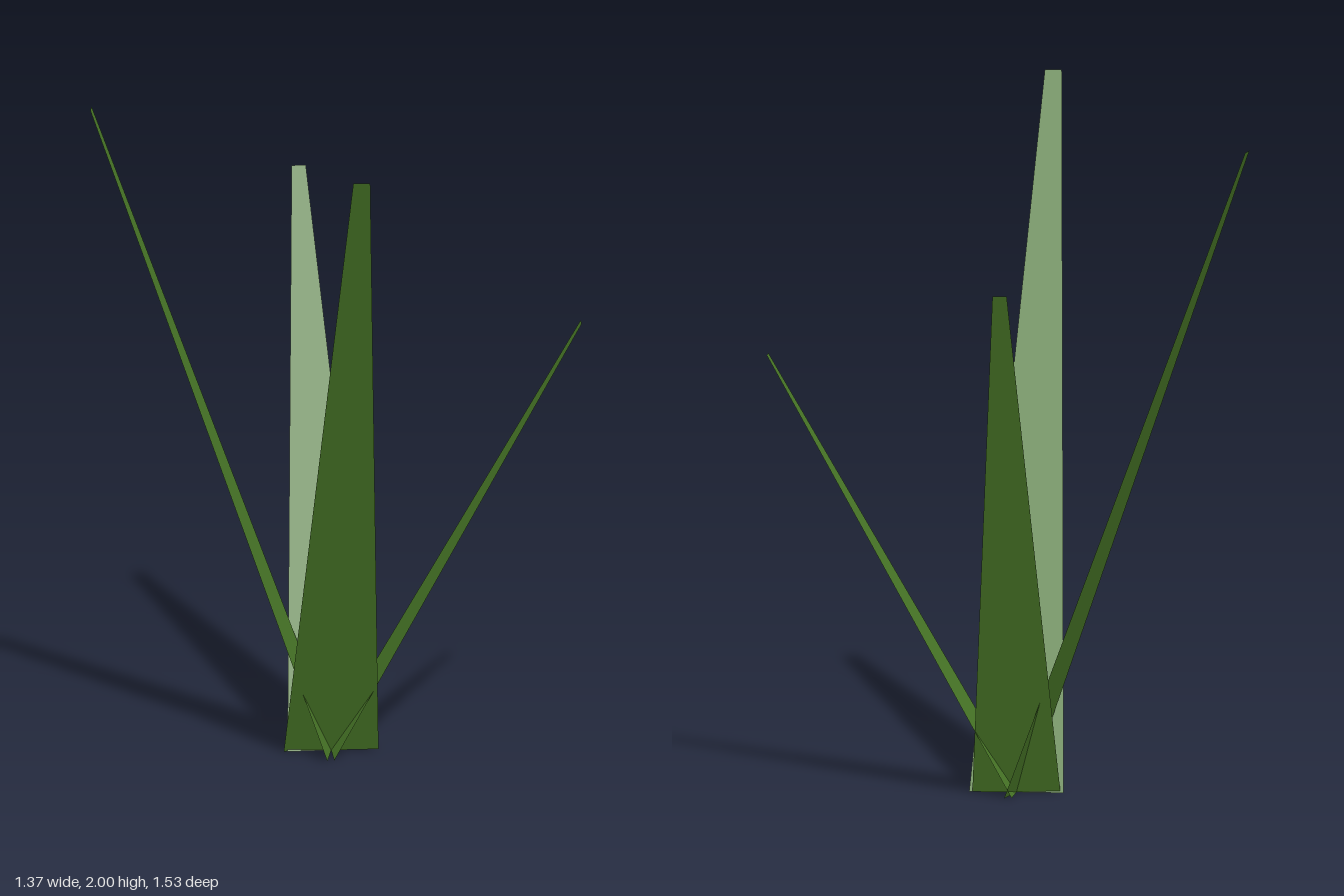
import * as THREE from 'three';

// Each blade: tip centre, base half width, tip half width
const BLADES = [
  { name: 'frontBlade', tip: [0.426, 2.0, 0.752], base: 0.14, end: 0.025 },
  { name: 'leftSideBlade', tip: [-0.681, 1.943, 0.058], base: 0.125, end: 0.021 },
  { name: 'backBlade', tip: [-0.33, 1.592, -0.757], base: 0.13, end: 0.021 },
  { name: 'rightSideBlade', tip: [0.675, 1.292, -0.438], base: 0.115, end: 0.02 },
];
const ROOT = new THREE.Vector3(0.005, 0, -0.127);

// Flat tapered leaf from the shared root to its tip, level edge at both ends
function bladeGeometry({ tip, base, end }) {
  const top = new THREE.Vector3(...tip);
  const out = top.clone().sub(ROOT).setY(0).normalize();
  const side = new THREE.Vector3(-out.z, 0, out.x);
  const corners = [[ROOT, -base], [ROOT, base], [top, end], [top, -end]]
    .map(([p, w]) => p.clone().addScaledVector(side, w));
  const geometry = new THREE.BufferGeometry().setFromPoints(corners);
  geometry.setIndex([0, 1, 2, 0, 2, 3]);
  geometry.computeVertexNormals();
  return geometry;
}

export function createModel() {
  const group = new THREE.Group();
  group.name = 'grassTuft';
  const green = new THREE.MeshStandardMaterial({ color: 0x4a7a28, side: THREE.DoubleSide });
  green.name = 'grass green';

  for (const blade of BLADES) {
    const mesh = new THREE.Mesh(bladeGeometry(blade), green);
    mesh.name = blade.name;
    group.add(mesh);
  }
  return group;
}
